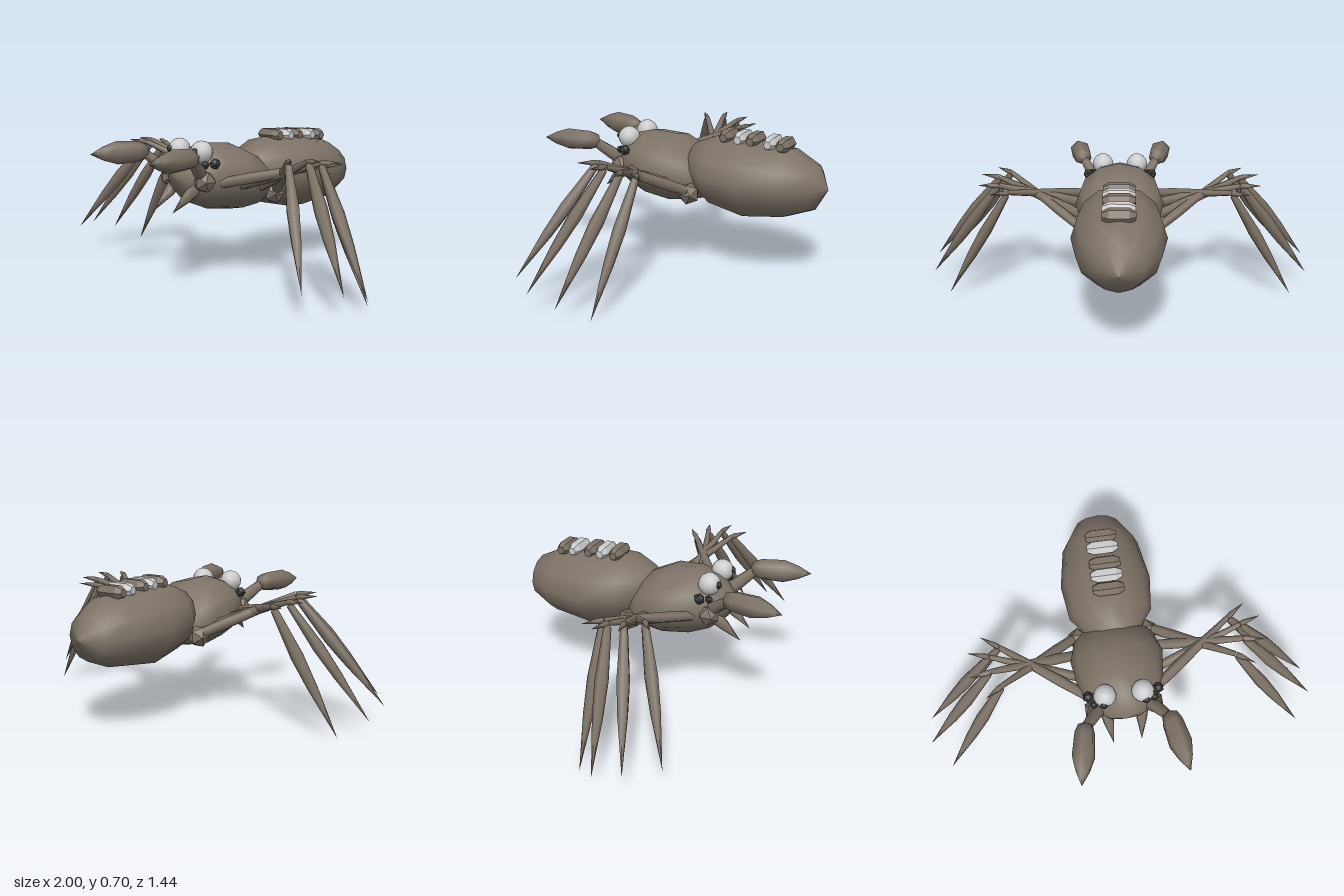
import * as THREE from 'three';

const mat = (color, flatShading = false) => new THREE.MeshStandardMaterial({ color, flatShading, roughness: 0.9 });
const brown = mat(0x7d7266);
const brownFlat = mat(0x7d7266, true);
const pale = mat(0xcccccc);
const paleFlat = mat(0xcccccc, true);
const dark = mat(0x3c3c3c, true);

function add(parent, name, geometry, material) {
  const mesh = new THREE.Mesh(geometry, material);
  mesh.name = name;
  parent.add(mesh);
  return mesh;
}

// Closed body skinned over elliptical sections [z, top, bottom, halfWidth], back to front
function loft(sections, sides) {
  const pos = [], index = [], row = sides;
  sections.forEach(([z, top, bottom, rx]) => {
    for (let j = 0; j < sides; j++) {
      const a = (j / sides) * Math.PI * 2 + Math.PI / 2;
      pos.push(rx * Math.cos(a), (top + bottom) / 2 + ((top - bottom) / 2) * Math.sin(a), z);
    }
  });
  for (let i = 0; i < sections.length - 1; i++) {
    for (let j = 0; j < sides; j++) {
      const a = i * row + j, b = i * row + ((j + 1) % sides);
      index.push(a, b, a + row, b, b + row, a + row);
    }
  }
  const g = new THREE.BufferGeometry();
  g.setAttribute('position', new THREE.Float32BufferAttribute(pos, 3));
  g.setIndex(index);
  g.computeVertexNormals();
  return g;
}

// Tapered limb from a to b; profile lists [fraction of length, radius]
function limb(a, b, profile, sides = 6) {
  const from = new THREE.Vector3(...a), dir = new THREE.Vector3(...b).sub(from);
  const length = dir.length();
  const g = new THREE.LatheGeometry(profile.map(([t, r]) => new THREE.Vector2(r, t * length)), sides);
  g.applyQuaternion(new THREE.Quaternion().setFromUnitVectors(new THREE.Vector3(0, 1, 0), dir.normalize()));
  return g.translate(from.x, from.y, from.z);
}

const SHIN = [[0, 0], [0.03, 0.018], [0.38, 0.031], [0.62, 0.024], [1, 0]];
const THIGH = [[0, 0.024], [0.3, 0.027], [0.6, 0.022], [1, 0.013]];
const THORN = [[0, 0.013], [0.25, 0.014], [1, 0]];
const BULB = [[0, 0], [0.05, 0.036], [0.18, 0.05], [0.55, 0.056], [0.78, 0.034], [1, 0]];
const STALK = [[0, 0.034], [0.5, 0.03], [1, 0.024]];
const FANG = [[0, 0], [0.1, 0.034], [0.4, 0.027], [1, 0]];

// Legs from rear knee to front knee; the thighs cross between hip and knee
const LEGS = [
  { hip: [0.17, 0.48, 0.26], knee: [0.56, 0.58, -0.01], foot: [0.9, 0, 0.03] },
  { hip: [0.18, 0.46, 0.16], knee: [0.61, 0.6, 0.04], foot: [1, 0.07, 0.145] },
  { hip: [0.18, 0.44, 0.03], knee: [0.61, 0.615, 0.12], foot: [1, 0.115, 0.29] },
  { hip: [0.18, 0.41, -0.08], knee: [0.56, 0.615, 0.195], foot: [0.9, 0.125, 0.43] },
];

function buildSide(side, label) {
  const group = new THREE.Group();
  group.name = label + 'Limbs';
  const m = ([x, y, z]) => [x * side, y, z];
  const ball = (name, p, r, material, detail = 0) =>
    add(group, name, new THREE.IcosahedronGeometry(r, detail), material).position.set(...m(p));

  LEGS.forEach(({ hip, knee, foot }, i) => {
    const leg = new THREE.Group();
    leg.name = label + 'Leg' + (i + 1);
    group.add(leg);
    add(leg, 'thigh', limb(m(hip), m(knee), THIGH), brown);
    const dir = new THREE.Vector3(...knee).sub(new THREE.Vector3(...hip)).normalize();
    const tip = new THREE.Vector3(...knee).addScaledVector(dir, 0.11);
    add(leg, 'kneeThorn', limb(m(knee), m([tip.x, knee[1] + 0.01, tip.z]), THORN, 5), brown);
    add(leg, 'shin', limb(m(knee), m(foot), SHIN), brown);
  });
  ball('rearHip', [0.175, 0.4, -0.07], 0.056, brownFlat);

  // Feeler: knobbly base, bent stalk and pointed bulb
  ball('feelerBase', [0.14, 0.49, 0.335], 0.056, brownFlat);
  add(group, 'feelerStalk', limb(m([0.13, 0.52, 0.35]), m([0.195, 0.605, 0.45]), STALK), brown);
  add(group, 'feelerBulb', limb(m([0.195, 0.615, 0.425]), m([0.25, 0.613, 0.72]), BULB), brown);

  add(group, 'fang', limb(m([0.085, 0.46, 0.34]), m([0.07, 0.345, 0.475]), FANG, 5), brown);

  // Large eye with pupil, and a small eye on the side of the head
  const eye = add(group, 'eye', new THREE.SphereGeometry(0.055, 12, 8), pale);
  eye.position.set(side * 0.09, 0.625, 0.315);
  ball('pupil', [0.1, 0.63, 0.361], 0.021, dark);
  ball('sideEye', [0.168, 0.575, 0.295], 0.028, dark);
  ball('sideEyeFront', [0.145, 0.57, 0.335], 0.02, dark);
  return group;
}

export function createModel() {
  const model = new THREE.Group();
  model.name = 'spider';

  add(model, 'abdomen', loft([
    [-0.72, 0.46, 0.46, 0],
    [-0.66, 0.575, 0.355, 0.115],
    [-0.53, 0.64, 0.305, 0.196],
    [-0.33, 0.667, 0.28, 0.229],
    [-0.14, 0.662, 0.322, 0.205],
    [-0.03, 0.62, 0.4, 0.125],
    [0.02, 0.52, 0.52, 0],
  ], 12), brown);

  add(model, 'headAndThorax', loft([
    [-0.13, 0.43, 0.43, 0],
    [-0.1, 0.5, 0.345, 0.14],
    [-0.03, 0.595, 0.325, 0.2],
    [0.08, 0.648, 0.312, 0.229],
    [0.22, 0.657, 0.33, 0.21],
    [0.32, 0.63, 0.37, 0.165],
    [0.385, 0.57, 0.43, 0.09],
    [0.405, 0.5, 0.5, 0],
  ], 12), brown);

  // Row of ridges across the back, alternating brown and pale
  [[-0.5, 0.655], [-0.435, 0.66], [-0.345, 0.666], [-0.28, 0.667], [-0.205, 0.67]].forEach(([z, y], i) => {
    const ridge = limb([-0.077, y, z], [0.077, y, z],
      [[0, 0], [0.001, 0.02], [0.2, 0.036], [0.8, 0.036], [0.999, 0.02], [1, 0]]);
    add(model, 'backRidge' + (i + 1), ridge, i % 2 ? paleFlat : brownFlat);
  });

  model.add(buildSide(1, 'left'), buildSide(-1, 'right'));
  return model;
}
